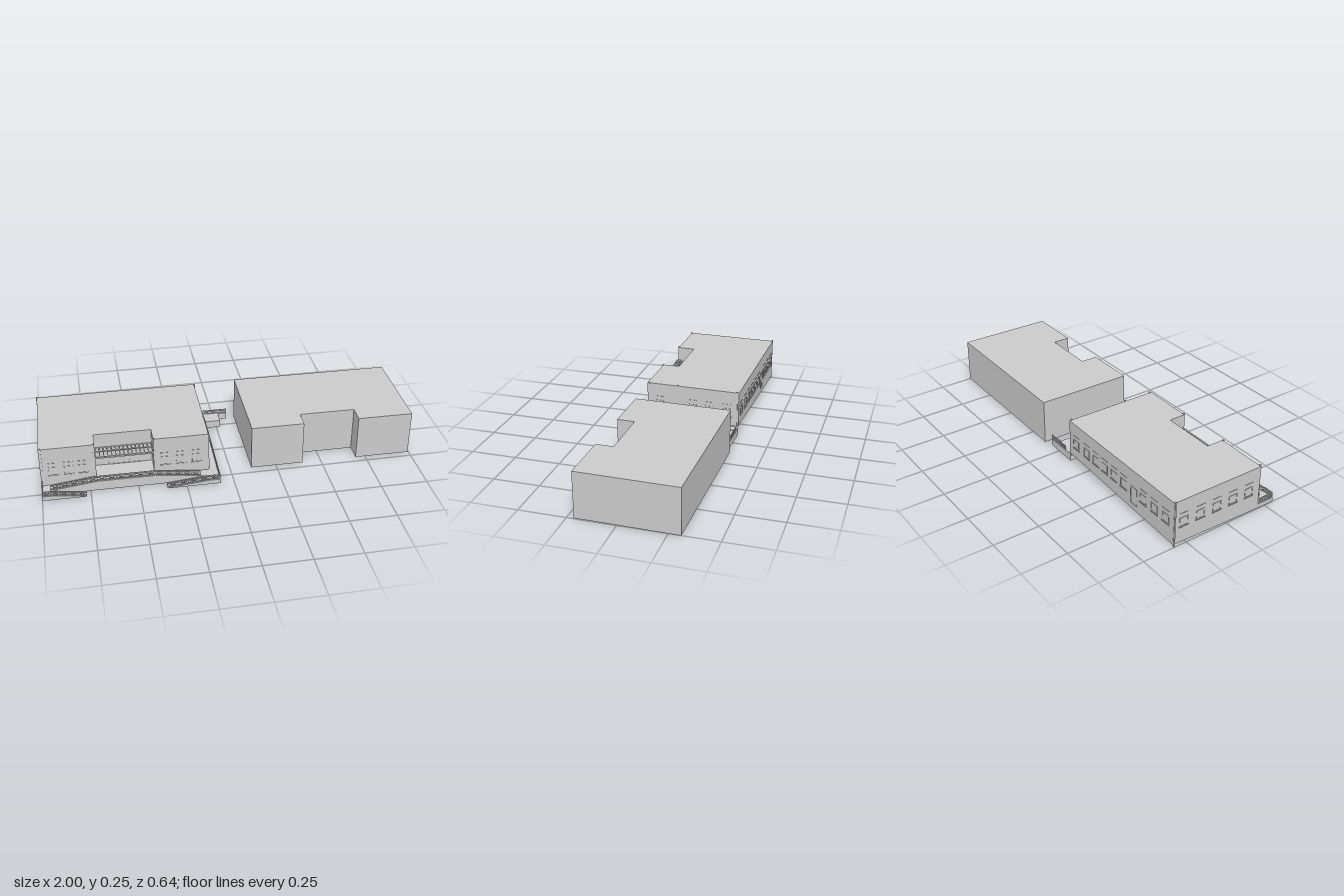
import * as THREE from 'three';

const mat = new THREE.MeshStandardMaterial({ color: 0xcccccc, side: THREE.DoubleSide, flatShading: true });
const TOP = 0.248;

function add(parent, name, geo) {
  const m = new THREE.Mesh(geo, mat);
  m.name = name;
  parent.add(m);
  return m;
}

function box(parent, name, x0, x1, y0, y1, z0, z1) {
  const m = add(parent, name, new THREE.BoxGeometry(x1 - x0, y1 - y0, z1 - z0));
  m.position.set((x0 + x1) / 2, (y0 + y1) / 2, (z0 + z1) / 2);
  return m;
}

// flat four-sided panels
function panels(parent, name, quads) {
  const pos = [];
  for (const [a, b, c, d] of quads) pos.push(...a, ...b, ...c, ...a, ...c, ...d);
  const g = new THREE.BufferGeometry();
  g.setAttribute('position', new THREE.Float32BufferAttribute(pos, 3));
  g.computeVertexNormals();
  return add(parent, name, g);
}

// walls and roof over a footprint of [x, z, bottom], open underneath
function shell(parent, pts) {
  const quads = pts.map(([x, z, b], i) => {
    const [x2, z2, b2] = pts[(i + 1) % pts.length];
    return [[x, b, z], [x2, b2, z2], [x2, TOP, z2], [x, TOP, z]];
  });
  panels(parent, 'walls', quads);
  const roof = new THREE.ShapeGeometry(new THREE.Shape(pts.map(([x, z]) => new THREE.Vector2(x, -z))));
  roof.rotateX(-Math.PI / 2);
  add(parent, 'roof', roof).position.y = TOP;
}

// walkway with a sloping top and skirts, running along x or z; profile is [run, height]
function ramp(parent, name, profile, lo, hi, alongZ = false) {
  const p = (r, y, s) => (alongZ ? [s, y, r] : [r, y, s]);
  const quads = [];
  for (let i = 0; i < profile.length - 1; i++) {
    const [a, ya] = profile[i], [b, yb] = profile[i + 1];
    quads.push([p(a, ya, hi), p(b, yb, hi), p(b, yb, lo), p(a, ya, lo)]);
    for (const s of [lo, hi]) quads.push([p(a, 0, s), p(b, 0, s), p(b, yb, s), p(a, ya, s)]);
  }
  for (const [r, y] of [profile[0], profile[profile.length - 1]])
    quads.push([p(r, 0, lo), p(r, 0, hi), p(r, y, hi), p(r, y, lo)]);
  panels(parent, name, quads);
}

function bar(parent, name, a, b, t) {
  const m = add(parent, name, new THREE.BoxGeometry(t, t, a.distanceTo(b)));
  m.position.copy(a).lerp(b, 0.5);
  m.lookAt(b);
}

// railing with posts, three rails and crossed braces along a path at deck level
function railing(parent, name, path, h = 0.03) {
  const g = new THREE.Group();
  g.name = name;
  const up = (v, y) => v.clone().setY(v.y + y);
  const pts = path.map(p => new THREE.Vector3(...p));
  for (let i = 0; i < pts.length - 1; i++) {
    const a = pts[i], b = pts[i + 1];
    for (const y of [0.004, h * 0.8, h]) bar(g, 'rail', up(a, y), up(b, y), 0.003);
    const n = Math.max(1, Math.round(a.distanceTo(b) / 0.05));
    for (let k = 0; k <= n; k++) {
      const p = a.clone().lerp(b, k / n);
      bar(g, 'post', p, up(p, h), 0.003);
      if (k === n) continue;
      const q = a.clone().lerp(b, (k + 1) / n);
      bar(g, 'brace', up(p, 0.004), up(q, h * 0.8), 0.002);
      bar(g, 'brace', up(p, h * 0.8), up(q, 0.004), 0.002);
    }
  }
  parent.add(g);
}

// thin frame lying on a wall, turned to face outward
function frame(parent, name, x, y, z, w, h, turn) {
  const rect = (path, a, b) => path.moveTo(-a, -b).lineTo(a, -b).lineTo(a, b).lineTo(-a, b).lineTo(-a, -b);
  const s = rect(new THREE.Shape(), w / 2, h / 2);
  s.holes.push(rect(new THREE.Path(), w / 2 - 0.003, h / 2 - 0.003));
  const g = new THREE.Group();
  g.name = name;
  add(g, 'frame', new THREE.ExtrudeGeometry(s, { depth: 0.002, bevelEnabled: false }));
  if (name === 'window') {
    box(g, 'sill', -w / 2 - 0.003, w / 2 + 0.003, -h / 2 - 0.004, -h / 2, 0, 0.004);
    box(g, 'lintel', -w / 2, w / 2, h / 2 + 0.022, h / 2 + 0.025, 0, 0.002);
  }
  g.position.set(x, y, z);
  g.rotation.y = turn;
  parent.add(g);
}

// group turned slightly about a vertical axis at x = cx
function turned(parent, name, cx) {
  const outer = new THREE.Group(), inner = new THREE.Group();
  outer.name = name;
  outer.position.x = cx;
  outer.rotation.y = -0.0114;
  inner.position.x = -cx;
  outer.add(inner);
  parent.add(outer);
  return inner;
}

export function createModel() {
  const root = new THREE.Group();
  const B = -0.318, F = 0.21, N = 0.115;

  // plain building
  const plain = turned(root, 'plainBuilding', 0.557);
  shell(plain, [[0.117, B, 0], [0.997, B, 0], [0.997, F, 0], [0.7, F, 0],
    [0.7, N, 0], [0.4, N, 0], [0.4, F, 0], [0.117, F, 0]]);

  // detailed building
  const hall = turned(root, 'detailedBuilding', -0.557);
  const L = -0.996, R = -0.117, NL = -0.71, NR = -0.408;
  shell(hall, [[L, B, 0.01], [R, B, 0.05], [R, F, 0.015], [NR, F, 0],
    [NR, N, 0], [NL, N, 0], [NL, F, 0], [L, F, 0]]);

  // windows and doors on the four sides
  [0.07, 0.18, 0.275, 0.365, 0.455, 0.55, 0.73, 0.83, 0.93].forEach(u =>
    frame(hall, 'window', R + (L - R) * u, 0.13, B, 0.05, 0.05, Math.PI));
  frame(hall, 'backDoor', R + (L - R) * 0.645, 0.105, B, 0.05, 0.1, Math.PI);
  for (let i = 0; i < 5; i++) frame(hall, 'window', L, 0.125, -0.26 + i * 0.1, 0.05, 0.05, -Math.PI / 2);
  for (const z of [-0.25, -0.15, -0.05, 0.14]) frame(hall, 'window', R, 0.125, z, 0.05, 0.05, Math.PI / 2);
  for (const x of [-0.93, -0.85, -0.775, -0.345, -0.265, -0.18])
    frame(hall, 'window', x, 0.11, F, 0.05, 0.05, 0);

  // downpipes
  for (const [x, z] of [[L + 0.01, F], [NL - 0.006, F], [NR + 0.006, F], [R, F - 0.01], [R, 0.035], [R, B + 0.012], [L, B + 0.005]])
    box(hall, 'downpipe', x - 0.004, x + 0.004, x === L ? 0 : 0.03, 0.253, z - 0.004, z + 0.004);

  // entrance recess: floor, portal, slatted canopy
  box(hall, 'porchFloor', NL, NR, 0.052, 0.055, N, F);
  frame(hall, 'portal', -0.555, 0.1, N, 0.17, 0.09, 0);
  frame(hall, 'entranceDoor', -0.555, 0.095, N, 0.06, 0.08, 0);
  box(hall, 'canopyBeam', NL, NR, 0.16, 0.168, F - 0.008, F);
  box(hall, 'canopyBeam', NL, NR, 0.162, 0.167, 0.15, 0.154);
  box(hall, 'canopyBeam', NL, NR, 0.16, 0.168, N, N + 0.006);
  for (let i = 0; i <= 14; i++) {
    const x = NL + 0.003 + (NR - NL - 0.006) * i / 14;
    box(hall, 'canopySlat', x - 0.002, x + 0.002, 0.161, 0.167, N, F);
  }

  // front walkway rising to the entrance, with folded lower ramps
  const E = -0.069, lo = 0.025, hi = 0.055, Z1 = 0.262, Z2 = 0.31;
  ramp(hall, 'frontRamp', [[L, lo], [-0.95, lo], [NL, hi], [NR, hi], [-0.17, lo], [E, lo]], F, Z1);
  ramp(hall, 'lowerRampLeft', [[L, lo], [-0.95, lo], [-0.77, 0.002]], Z1, Z2);
  ramp(hall, 'lowerRampRight', [[-0.35, 0.002], [-0.13, lo], [E, lo]], Z1, Z2);
  railing(hall, 'frontRailing', [[-0.95, lo, Z1 - 0.003], [NL, hi, Z1 - 0.003], [NR, hi, Z1 - 0.003], [-0.17, lo, Z1 - 0.003]]);
  railing(hall, 'leftRailing', [[L + 0.003, lo, F], [L + 0.003, lo, Z2 - 0.003], [-0.95, lo, Z2 - 0.003], [-0.77, 0.002, Z2 - 0.003]], 0.028);
  railing(hall, 'rightRailing', [[-0.35, 0.002, Z2 - 0.003], [-0.13, lo, Z2 - 0.003], [E - 0.003, lo, Z2 - 0.003], [E - 0.003, lo, F]], 0.028);

  // side walkway climbing to the rear platform
  ramp(hall, 'sideRamp', [[B, 0.045], [-0.23, 0.045], [F, lo]], R, E, true);
  railing(hall, 'sideRailing', [[E - 0.003, 0.045, -0.23], [E - 0.003, lo, F]]);
  ramp(hall, 'rearPlatform', [[E, 0.042], [0.02, 0.042]], B, -0.235);
  railing(hall, 'rearRailing', [[E, 0.042, B + 0.003], [0.02, 0.042, B + 0.003]], 0.024);
  railing(hall, 'stepRailing', [[0.02, 0.042, B + 0.003], [0.068, 0.042, B + 0.003]], 0.024);
  box(hall, 'stepWall', 0.02, 0.068, 0.004, 0.042, B, B + 0.006);

  return root;
}
